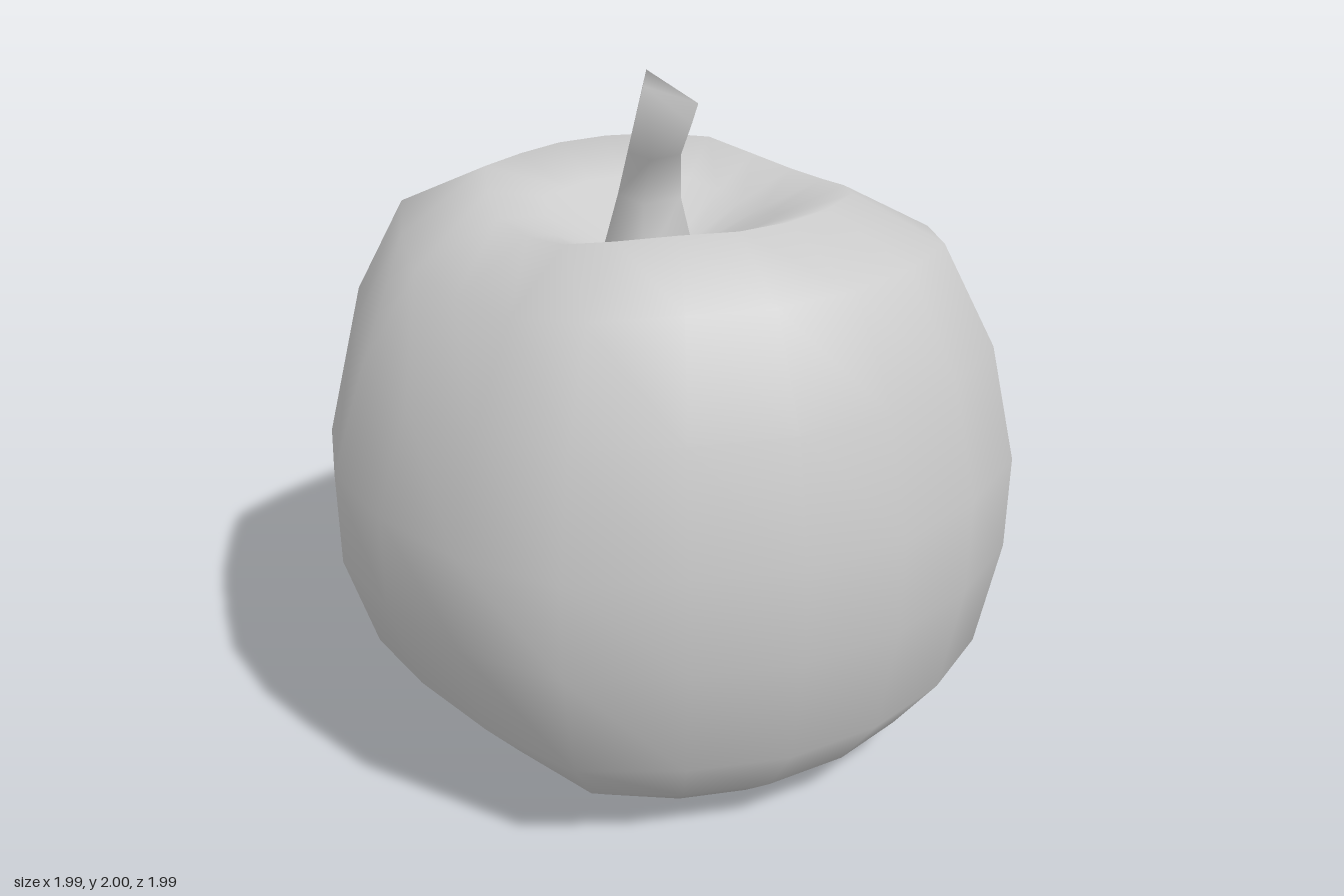
import * as THREE from 'three';
import { mergeVertices } from 'three/addons/utils/BufferGeometryUtils.js';

const material = new THREE.MeshStandardMaterial({ color: 0xcccccc });

// Uneven plan outline: one radius per 18 degrees, starting just behind +x
const TURN = 3.5;
const PLAN = [
  0.99, 0.99, 0.993, 1.027, 0.997, 0.99, 0.995, 0.996, 1.05, 1.02,
  1.0, 1.007, 1.0, 1.055, 0.997, 1.0, 1.0, 0.993, 1.022, 0.997,
];

// Body: a lathed profile with hollows, then uneven lobes pushed into it
function makeBody() {
  const profile = [
    [0, 0.19], [0.18, 0.145], [0.4, 0.045], [0.64, 0.015], [0.8, 0.14], [0.93, 0.31],
    [0.995, 0.64], [1, 0.92], [0.925, 1.26], [0.775, 1.55], [0.52, 1.675],
    [0.33, 1.6], [0.15, 1.5], [0, 1.46],
  ].map(([r, y]) => new THREE.Vector2(r, y));
  const geometry = new THREE.LatheGeometry(profile, PLAN.length, THREE.MathUtils.degToRad(TURN));
  geometry.deleteAttribute('uv');
  geometry.deleteAttribute('normal');

  const p = geometry.attributes.position;
  for (let i = 0; i < p.count; i++) {
    let x = p.getX(i), y = p.getY(i), z = p.getZ(i);
    const r = Math.hypot(x, z);
    const angle = Math.atan2(z, x);
    const spoke = (Math.round((THREE.MathUtils.radToDeg(angle) + TURN) / 18) + 20) % 20;
    const side = Math.max(0, Math.cos(2 * angle));
    const back = z < 0 ? Math.max(0, -Math.cos(2 * angle)) : 0;
    const rim = Math.min(1, r / 0.4);
    const low = Math.max(0, 1 - y / 0.6) * rim;
    const high = THREE.MathUtils.smoothstep(y, 1.0, 1.5) * rim;
    x *= PLAN[spoke];
    z *= PLAN[spoke];
    // small pointed foot at the back right
    const foot = spoke === 13 && y < 0.03;
    // underside rises and narrows at the sides, leaving lobes at front and back
    y = foot ? 0 : y + low * (0.11 * side + 0.03 * back);
    // shoulders drop and narrow at the sides, more on the right
    y -= high * side * (x < 0 ? 0.07 : 0.055);
    x *= 1 - side * (0.07 * low + 0.06 * high);
    // upper hollow follows the off-centre stem
    if (y > 1.4) x -= 0.06 * Math.max(0, 1 - r / 0.5);
    p.setXYZ(i, x, y, z);
  }
  const body = mergeVertices(geometry, 1e-4);
  body.computeVertexNormals();
  return body;
}

// Stem: four-sided loops that narrow, twist and lean forward
function makeStem() {
  const square = (cx, cz, hx, hz, y) =>
    [[-1, 1], [1, 1], [1, -1], [-1, -1]].map(([sx, sz]) => [cx + sx * hx, y, cz + sz * hz]);
  const loops = [
    square(-0.065, 0, 0.097, 0.1, 1.45),
    square(-0.065, 0.005, 0.064, 0.064, 1.64),
    square(-0.065, 0.03, 0.052, 0.056, 1.77),
    [[-0.165, 1.99, 0.12], [-0.06, 1.89, 0.2], [0.035, 1.91, 0.1], [-0.07, 2, 0]],
  ];
  const index = [];
  for (let k = 0; k < loops.length - 1; k++) {
    for (let j = 0; j < 4; j++) {
      const a = k * 4 + j, b = k * 4 + ((j + 1) % 4);
      index.push(a, b, b + 4, a, b + 4, a + 4);
    }
  }
  // cut end
  const c = (loops.length - 1) * 4;
  index.push(c, c + 1, c + 2, c, c + 2, c + 3);
  const geometry = new THREE.BufferGeometry();
  geometry.setAttribute('position', new THREE.Float32BufferAttribute(loops.flat(2), 3));
  geometry.setIndex(index);
  geometry.computeVertexNormals();
  return geometry;
}

export function createModel() {
  const group = new THREE.Group();
  group.name = 'apple';
  const body = new THREE.Mesh(makeBody(), material);
  body.name = 'body';
  const stem = new THREE.Mesh(makeStem(), material);
  stem.name = 'stem';
  group.add(body, stem);
  return group;
}
